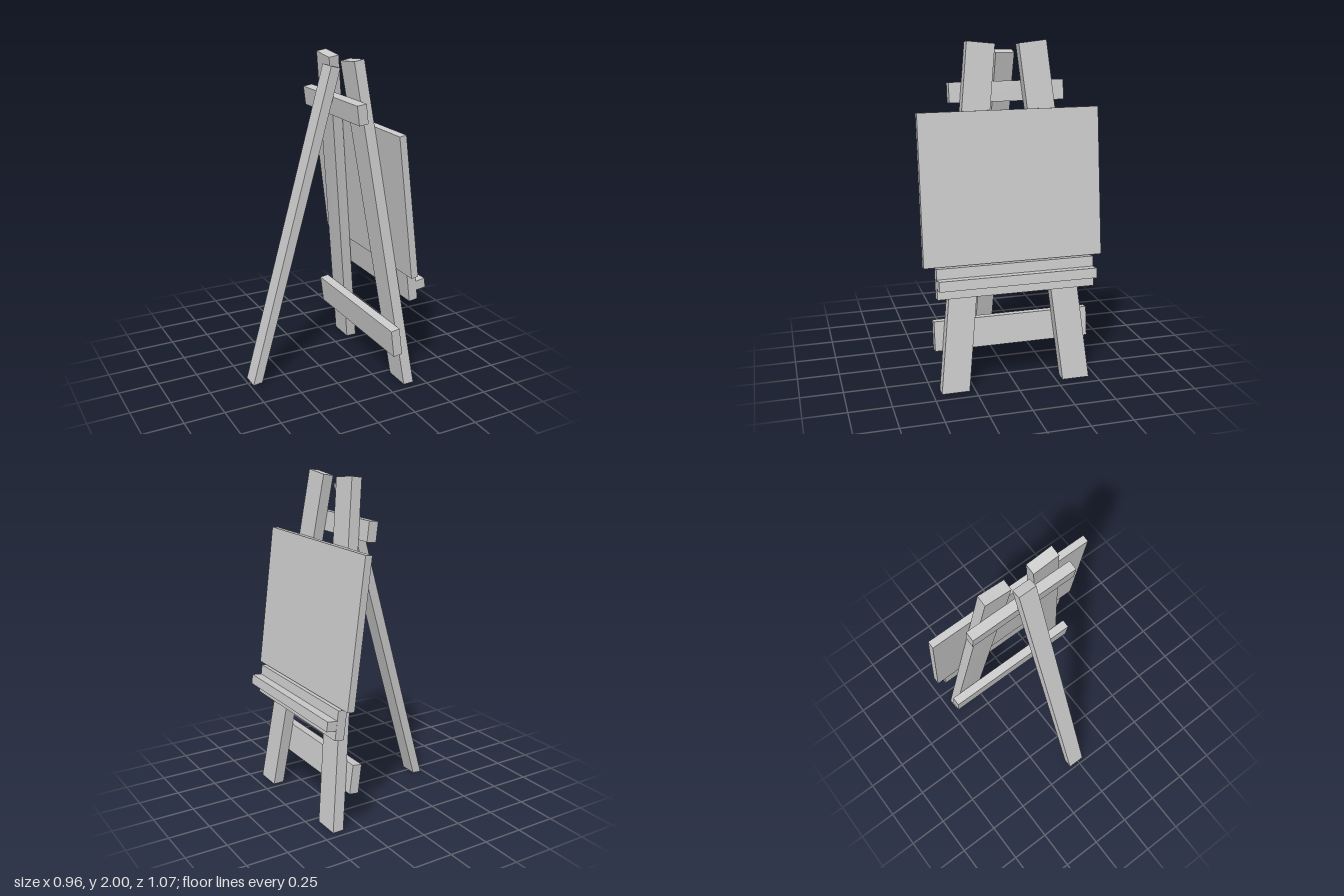
import * as THREE from 'three';

const material = new THREE.MeshStandardMaterial({ color: 0xcccccc, flatShading: true });

// A plank: side profile of [x, y] corners, extruded from z0 to z1
function plank(name, profile, z0, z1) {
  const shape = new THREE.Shape(profile.map(([x, y]) => new THREE.Vector2(x, y)));
  const geometry = new THREE.ExtrudeGeometry(shape, { depth: z1 - z0, bevelEnabled: false });
  geometry.translate(0, 0, z0);
  const mesh = new THREE.Mesh(geometry, material);
  mesh.name = name;
  return mesh;
}

// Front leg: a plank leaning inwards, with its top cut square to the lean
function frontLeg(name, z0, z1, side) {
  const leg = plank(name, [[0.362, 0], [0.43, 0], [0.168, 2], [0.104, 1.99]], z0, z1);
  const p = leg.geometry.attributes.position;
  const outer = side > 0 ? z1 : z0;
  for (let i = 0; i < p.count; i++) {
    if (p.getY(i) < 1) continue;
    const inward = Math.abs(outer - p.getZ(i));
    p.setY(i, p.getY(i) - 0.105 * inward);
    p.setZ(i, p.getZ(i) - side * 0.225 + (side < 0 ? -0.015 : 0));
  }
  leg.geometry.computeVertexNormals();
  return leg;
}

export function createModel() {
  const easel = new THREE.Group();
  easel.name = 'easel';
  easel.add(
    // Supports
    frontLeg('frontLegA', 0.285, 0.45, 1),
    frontLeg('frontLegB', -0.455, -0.29, -1),
    plank('backLeg', [[-0.479, 0], [-0.42, 0.006], [0.115, 1.927], [0.056, 1.942]], -0.069, 0.041),
    // Crossbars behind the front legs
    plank('lowerCrossbar', [[0.272, 0.222], [0.33, 0.229], [0.306, 0.404], [0.249, 0.396]], -0.474, 0.466),
    plank('upperCrossbar', [[0.087, 1.645], [0.146, 1.652], [0.131, 1.768], [0.072, 1.76]], -0.363, 0.323),
    // Canvas and the ledge it stands on
    plank('canvas', [[0.334, 0.752], [0.379, 0.758], [0.265, 1.621], [0.222, 1.615]], -0.533, 0.533),
    plank('ledgeRail', [[0.368, 0.574], [0.425, 0.581], [0.401, 0.756], [0.345, 0.748]], -0.474, 0.466),
    plank('ledgeTray', [[0.415, 0.638], [0.478, 0.646], [0.47, 0.704], [0.407, 0.696]], -0.473, 0.465)
  );
  return easel;
}
